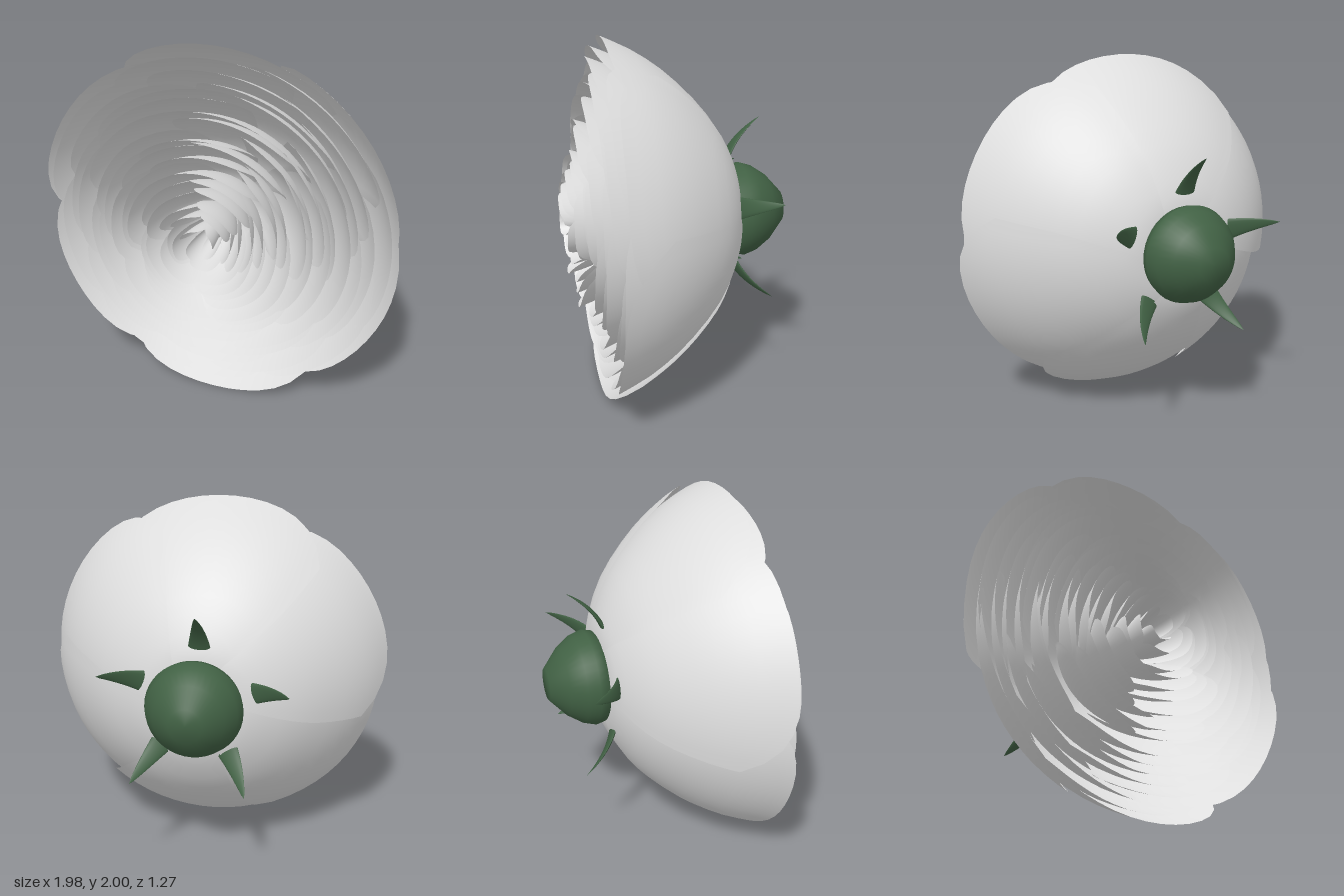
import * as THREE from 'three';

const petalMat = new THREE.MeshStandardMaterial({ color: 0xdedede, side: THREE.DoubleSide });
petalMat.name = 'petal white';
const greenMat = new THREE.MeshStandardMaterial({ color: 0x416144, side: THREE.DoubleSide });
greenMat.name = 'leaf green';

// Seeded random numbers in -1..1
let seed = 7;
const rnd = () => {
  seed = (seed * 16807) % 2147483647;
  return (seed / 2147483647) * 2 - 1;
};

// Smooth patch: fn(u in -1..1, v in 0..1) gives [x, y, z]
function patch(fn, nu, nv) {
  const geo = new THREE.PlaneGeometry(2, 1, nu, nv);
  const p = geo.attributes.position;
  for (let i = 0; i < p.count; i++) p.setXYZ(i, ...fn(p.getX(i), p.getY(i) + 0.5));
  geo.computeVertexNormals();
  return geo;
}

// Bowl profile from base to rim, as fractions of rim radius and depth
const bowl = new THREE.SplineCurve([
  [0.04, 0], [0.22, 0.005], [0.37, 0.06], [0.57, 0.215], [0.77, 0.475], [0.91, 0.74], [1, 1],
].map(([r, z]) => new THREE.Vector2(r, z)));

// One cupped petal: a rounded spoon-shaped sector of the bowl, one edge lifted over its neighbour
function petal({ angle, half, radius, tipZ, depth, round, lift, narrow }) {
  return patch((u, v) => {
    const q = bowl.getPoint(v * (1 - round * Math.abs(u) ** 3.5));
    const spread = half * (narrow + (1 - narrow) * Math.sin(Math.min(1, v * 1.3) * Math.PI / 2));
    const a = angle + u * spread;
    const r = radius * q.x + lift * (u - 1) * Math.sin(v * Math.PI / 2);
    return [r * Math.cos(a), r * Math.sin(a), tipZ - depth * (1 - q.y)];
  }, 16, 14);
}

export function createModel() {
  seed = 7;
  const model = new THREE.Group();
  model.name = 'flower';
  const bloom = new THREE.Group();
  bloom.name = 'bloom';
  bloom.position.y = 1;
  model.add(bloom);

  const add = (parent, geo, mat, name) => {
    const mesh = new THREE.Mesh(geo, mat);
    mesh.name = name;
    parent.add(mesh);
    return mesh;
  };

  // Six broad outer petals, slightly uneven in reach
  const outer = new THREE.Group();
  outer.name = 'outerPetals';
  bloom.add(outer);
  [1.02, 1.02, 0.995, 1.02, 1.015, 1.025].forEach((radius, i) => {
    const angle = Math.PI / 2 + i * Math.PI / 3;
    const tipZ = 0.395 - 0.035 * Math.sin(angle);
    add(outer, petal({
      angle, half: 0.74, radius, tipZ, depth: tipZ + 0.36, round: 0.22, lift: 0.022, narrow: 0.5,
    }), petalMat, 'outerPetal');
  });

  // Nested rings of inner petals, rising toward the middle
  let ring = 0;
  for (let R = 0.955; R > 0.06; R -= 0.06, ring++) {
    const layer = new THREE.Group();
    layer.name = 'petalRing';
    bloom.add(layer);
    const n = Math.round(4 + 3 * R);
    for (let i = 0; i < n; i++) {
      const wobble = ring === 0 ? 0.008 : 0.022;
      add(layer, petal({
        angle: ring * 2.4 + (i + 0.15 * rnd()) * 2 * Math.PI / n,
        half: 1.4 * Math.PI / n,
        radius: R + wobble * rnd(),
        tipZ: 0.4 + 0.25 * (1 - R) ** 1.1 + (ring === 0 ? 0.01 : 0.028) * rnd(),
        depth: ring === 0 ? 0.75 : 0.26 + 0.51 * R,
        round: 0.2 + 0.2 * (1 - R),
        lift: ring === 0 ? 0.01 : 0.016,
        narrow: 0.75,
      }), petalMat, 'innerPetal');
    }
  }

  // Round bud sunk deep in the middle
  const bud = add(bloom, new THREE.SphereGeometry(0.055, 24, 16), petalMat, 'centreBud');
  bud.position.z = 0.38;

  // Green calyx behind the bloom, rounded with a small blunt end
  const profile = [
    [0, 0.645], [0.09, 0.643], [0.19, 0.555], [0.245, 0.475], [0.266, 0.41], [0.255, 0.36], [0.2, 0.32],
  ].map(([r, z]) => new THREE.Vector2(r, -z));
  const calyx = add(bloom, new THREE.LatheGeometry(profile, 40), greenMat, 'calyx');
  calyx.rotation.x = Math.PI / 2;

  // Five curled, pointed sepals with a lens-shaped section
  const spine = new THREE.QuadraticBezierCurve(
    new THREE.Vector2(0.3, -0.32), new THREE.Vector2(0.43, -0.37), new THREE.Vector2(0.53, -0.515));
  const sepalGeo = patch((u, v) => {
    const q = spine.getPoint(v);
    const t = spine.getTangent(v);
    const width = 0.064 * (1 - v) ** 0.75;
    const bulge = 0.22 * width * Math.sin(u * Math.PI);
    return [q.x - t.y * bulge, width * Math.cos(u * Math.PI), q.y + t.x * bulge];
  }, 16, 12);
  for (let i = 0; i < 5; i++) {
    const sepal = add(bloom, sepalGeo, greenMat, 'sepal');
    sepal.rotation.z = THREE.MathUtils.degToRad(93 + 72 * i);
  }
  return model;
}
